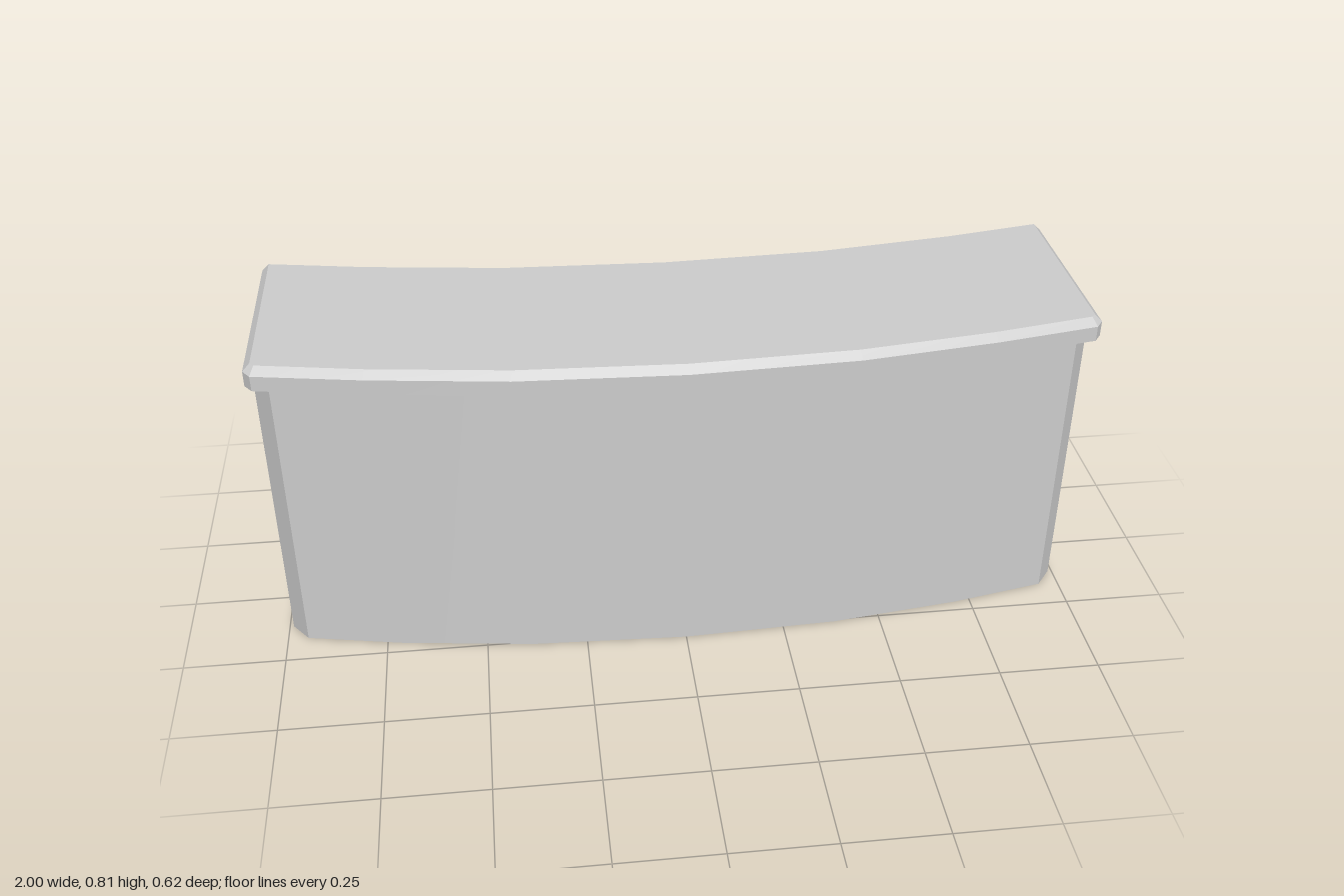
import * as THREE from 'three';
import { toCreasedNormals } from 'three/addons/utils/BufferGeometryUtils.js';

// Full front run (left to right) then back run (right to left) from the +x halves.
// Each half is listed from the centre (x = 0) outwards.
function outline(front, back) {
  const flip = (pts) => pts.slice(1).map(([x, z]) => [-x, z]);
  return [...flip(front).reverse(), ...front, ...[...back].reverse(), ...flip(back)];
}

// Walls between stacked outlines, with optional flat caps below and above.
function loft(levels, caps) {
  const pos = [];
  const put = (y, p) => pos.push(p[0], y, p[1]);
  for (let l = 0; l < levels.length - 1; l++) {
    const [y0, lo] = levels[l];
    const [y1, hi] = levels[l + 1];
    lo.forEach((a, i) => {
      const j = (i + 1) % lo.length;
      put(y0, a); put(y0, lo[j]); put(y1, hi[j]);
      put(y0, a); put(y1, hi[j]); put(y1, hi[i]);
    });
  }
  const cap = ([y, pts], down) => {
    const flat = pts.map(([x, z]) => new THREE.Vector2(x, -z));
    for (const [a, b, c] of THREE.ShapeUtils.triangulateShape(flat, [])) {
      for (const k of down ? [a, c, b] : [a, b, c]) put(y, pts[k]);
    }
  };
  if (caps) {
    cap(levels[0], true);
    cap(levels[levels.length - 1], false);
  }
  const g = new THREE.BufferGeometry();
  g.setAttribute('position', new THREE.Float32BufferAttribute(pos, 3));
  return toCreasedNormals(g, 0.35);
}

export function createModel() {
  const group = new THREE.Group();
  group.name = 'curvedCounterDesk';
  const grey = new THREE.MeshStandardMaterial({ color: 0xcccccc, side: THREE.DoubleSide });
  grey.name = 'light grey';

  const add = (name, geometry) => {
    const mesh = new THREE.Mesh(geometry, grey);
    mesh.name = name;
    group.add(mesh);
  };

  // Body shell, open underneath, with a knee recess at the back
  const body = outline(
    [[0, 0.275], [0.385, 0.259], [0.71, 0.217], [0.95, 0.17], [0.99, 0.12]],
    [[0, 0.003], [0.38, -0.012], [0.675, -0.05], [0.833, -0.255], [0.99, -0.28]]
  );
  add('deskBody', loft([[0, body], [0.758, body]], false));

  // Counter top with a bevel along the front and both ends
  const back = [[0, -0.205], [0.4, -0.221], [0.74, -0.265]];
  const rim = outline(
    [[0, 0.311], [0.4, 0.294], [0.73, 0.25], [0.982, 0.205], [1, 0.181]],
    [...back, [1, -0.312]]
  );
  const top = outline(
    [[0, 0.292], [0.397, 0.275], [0.725, 0.232], [0.972, 0.187], [0.982, 0.176]],
    [...back, [0.982, -0.309]]
  );
  add('counterTop', loft([[0.758, rim], [0.796, rim], [0.814, top]], true));

  return group;
}
